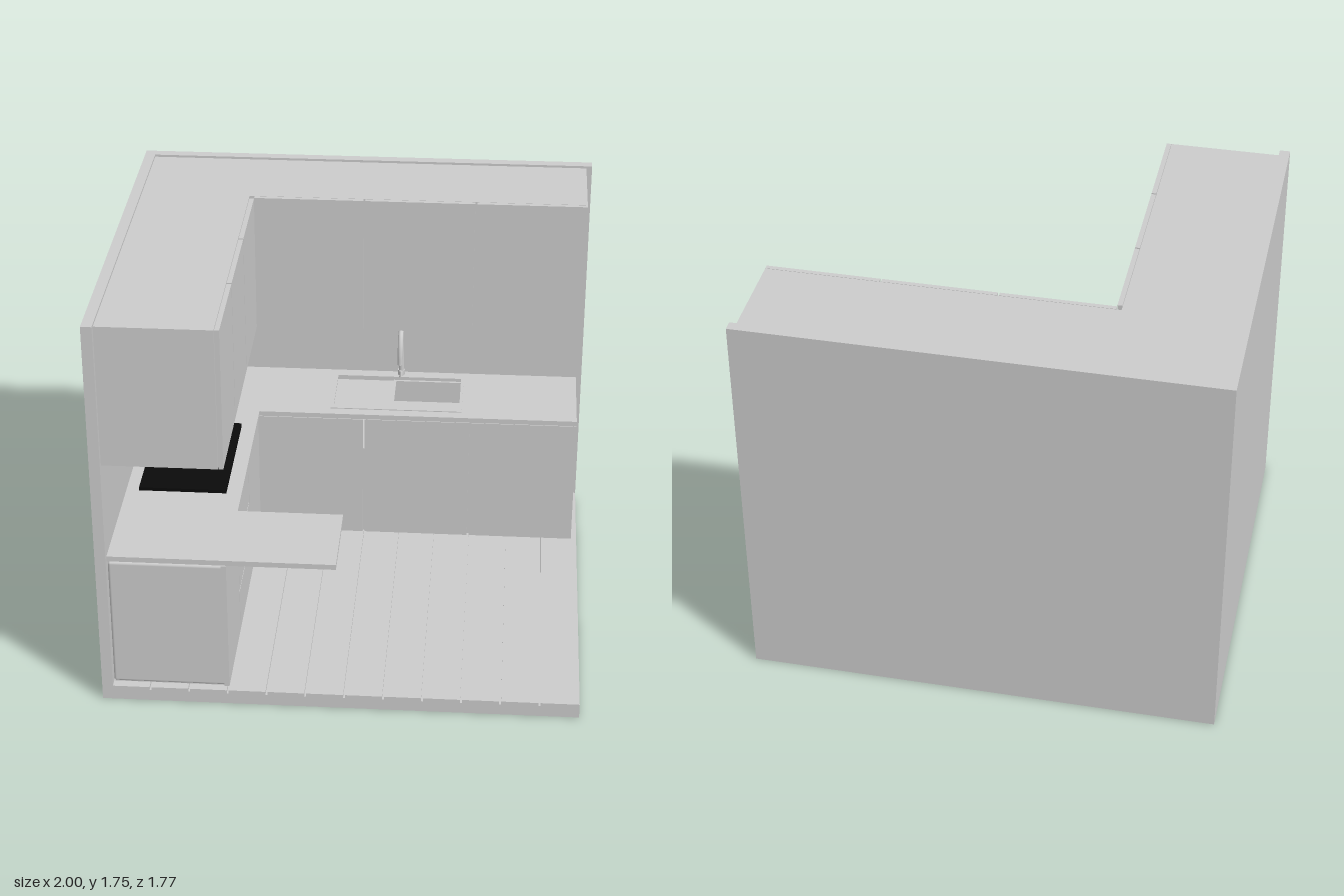
import * as THREE from 'three';
import { RoundedBoxGeometry } from 'three/addons/geometries/RoundedBoxGeometry.js';

export function createModel() {
  const model = new THREE.Group();
  model.name = 'cornerKitchen';
  const grey = new THREE.MeshStandardMaterial({ color: 0xcccccc });
  const black = new THREE.MeshStandardMaterial({ color: 0x0a0a0a });

  const add = (name, geometry, material = grey) => {
    const mesh = new THREE.Mesh(geometry, material);
    mesh.name = name;
    model.add(mesh);
    return mesh;
  };
  // Boxes are given by their limits on each axis; a radius rounds the edges
  const box = (name, [x0, x1], [y0, y1], [z0, z1], material = grey, radius = 0) => {
    const size = [x1 - x0, y1 - y0, z1 - z0];
    const geometry = radius ? new RoundedBoxGeometry(...size, 3, radius) : new THREE.BoxGeometry(...size);
    add(name, geometry, material).position.set((x0 + x1) / 2, (y0 + y1) / 2, (z0 + z1) / 2);
  };
  // Flat slab from plan points (x, z), with optional holes
  const slab = (name, points, holes, y0, y1) => {
    const toV = ([x, z]) => new THREE.Vector2(x, -z);
    const shape = new THREE.Shape(points.map(toV));
    for (const h of holes) shape.holes.push(new THREE.Path(h.map(toV)));
    const g = new THREE.ExtrudeGeometry(shape, { depth: y1 - y0, bevelEnabled: false });
    g.rotateX(-Math.PI / 2).translate(0, y0, 0);
    add(name, g);
  };
  const rect = (x0, x1, z0, z1) => [[x0, z0], [x1, z0], [x1, z1], [x0, z1]];

  // Room shell
  box('floorSlab', [-1, 1], [0, 0.05], [-0.885, 0.885]);
  box('leftWall', [-1, -0.955], [0.05, 1.75], [-0.84, 0.885]);
  box('backWall', [-1, 1], [0.05, 1.75], [-0.885, -0.84]);

  // Floor planks
  const plank = 1.955 / 12;
  for (let i = 0; i < 12; i++) {
    const x = -0.955 + i * plank;
    box('floorPlank', [x, x + plank - (i < 11 ? 0.008 : 0)], [0.05, 0.065], [-0.84, 0.885]);
  }

  // Upper cabinets: L-shaped carcass with three doors on each run
  const carcass = [[-0.955, -0.84], [0.975, -0.84], [0.975, -0.435], [-0.485, -0.435], [-0.485, 0.86], [-0.955, 0.86]];
  slab('upperCarcass', carcass, [], 1.12, 1.74);
  const backDoors = [[-0.463, 0.01], [0.018, 0.493], [0.501, 0.975]];
  const leftDoors = [[-0.405, 0.01], [0.018, 0.437], [0.445, 0.86]];
  for (const span of backDoors) box('upperBackDoor', span, [1.12, 1.74], [-0.433, -0.413]);
  for (const span of leftDoors) box('upperLeftDoor', [-0.483, -0.463], [1.12, 1.74], span);

  // Base cabinets: lower middle section leaves room for the sink
  box('baseLeftCarcass', [-0.95, -0.489], [0.065, 0.665], [-0.84, 0.846]);
  box('baseBackCarcass', [-0.489, -0.17], [0.065, 0.665], [-0.84, -0.437]);
  box('baseSinkCarcass', [-0.17, 0.48], [0.065, 0.5], [-0.84, -0.437]);
  box('baseEndCarcass', [0.48, 0.96], [0.065, 0.665], [-0.84, -0.437]);
  for (const span of backDoors) box('baseBackDoor', span, [0.07, 0.663], [-0.435, -0.413]);
  box('baseLeftDoor', [-0.487, -0.465], [0.07, 0.663], leftDoors[0]);
  box('baseLeftPanel', [-0.487, -0.465], [0.07, 0.663], leftDoors[2]);
  for (const span of [[0.07, 0.266], [0.274, 0.466], [0.474, 0.663]])
    box('drawerFront', [-0.487, -0.465], span, leftDoors[1]);

  // Softly rounded end panels
  box('leftRunEndPanel', [-0.953, -0.469], [0.073, 0.663], [0.83, 0.86], grey, 0.012);
  box('backRunEndPanel', [0.943, 0.973], [0.073, 0.663], [-0.838, -0.415], grey, 0.012);

  // Countertop with breakfast-bar return and sink cut-out
  const sink = rect(-0.14, 0.455, -0.79, -0.46);
  slab('countertop', [
    [-0.955, -0.84], [0.975, -0.84], [0.975, -0.41], [-0.46, -0.41],
    [-0.46, 0.465], [-0.015, 0.465], [-0.015, 0.86], [-0.955, 0.86],
  ], [sink], 0.667, 0.69);

  // Sink: rim, shallow drainer on the left, deep bowl on the right
  slab('sinkRim', sink, [rect(-0.128, 0.443, -0.778, -0.472)], 0.66, 0.694);
  box('drainer', [-0.13, 0.14], [0.655, 0.672], [-0.78, -0.47]);
  slab('bowlWalls', rect(0.13, 0.455, -0.79, -0.46), [rect(0.142, 0.443, -0.778, -0.472)], 0.56, 0.672);
  box('bowlFloor', [0.13, 0.455], [0.55, 0.56], [-0.79, -0.46]);
  add('drain', new THREE.CylinderGeometry(0.022, 0.022, 0.004, 24)).position.set(0.29, 0.562, -0.625);

  // Faucet: upright, arched spout and side lever
  const fx = 0.163;
  const path = new THREE.CatmullRomCurve3([
    [0.69, -0.816], [0.76, -0.816], [0.83, -0.812], [0.9, -0.795], [0.934, -0.768],
    [0.943, -0.748], [0.934, -0.725], [0.9, -0.7], [0.855, -0.687], [0.81, -0.683],
  ].map(([y, z]) => new THREE.Vector3(fx, y, z)));
  add('faucetSpout', new THREE.TubeGeometry(path, 48, 0.012, 16));
  const tip = add('faucetTip', new THREE.CylinderGeometry(0.012, 0.012, 0.003, 16));
  tip.position.set(fx, 0.81, -0.683);
  add('faucetBase', new THREE.CylinderGeometry(0.016, 0.016, 0.025, 24)).position.set(fx, 0.7025, -0.816);
  const arm = add('faucetLeverArm', new THREE.CylinderGeometry(0.007, 0.007, 0.07, 16));
  arm.rotation.x = Math.PI / 2;
  arm.position.set(fx, 0.708, -0.777);
  add('faucetLever', new THREE.CylinderGeometry(0.005, 0.005, 0.04, 16)).position.set(fx, 0.721, -0.747);

  // Cooktop
  box('cooktop', [-0.9, -0.525], [0.69, 0.705], [-0.265, 0.325], black);

  return model;
}
